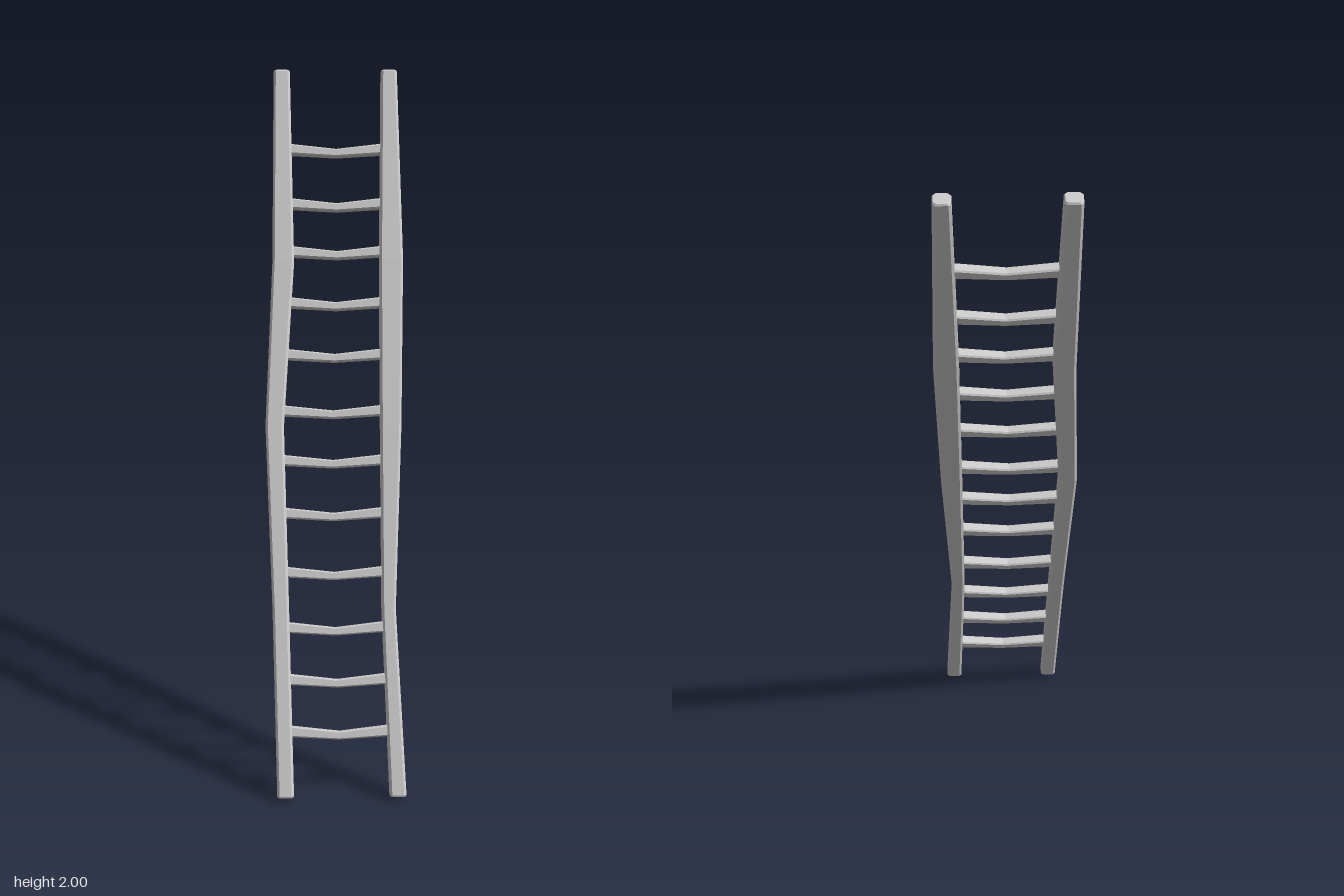
import * as THREE from 'three';

const material = new THREE.MeshStandardMaterial({ color: 0xcccccc, flatShading: true });
const LEAN = 0.391, LENGTH = 2.145;

// Chamfered bar through sections { c: centre, u, v: half sizes along the U and V axes }
function bar(name, sections, U, V, chamfer) {
  const pos = [], idx = [], n = 8;
  for (const { c, u, v } of sections) {
    const a = u - chamfer, b = v - chamfer;
    for (const [p, q] of [[u, -b], [u, b], [a, v], [-a, v], [-u, b], [-u, -b], [-a, -v], [a, -v]]) {
      const w = c.clone().addScaledVector(U, p).addScaledVector(V, q);
      pos.push(w.x, w.y, w.z);
    }
  }
  for (let s = 0; s < sections.length - 1; s++) {
    for (let i = 0; i < n; i++) {
      const a = s * n + i, b = s * n + (i + 1) % n;
      idx.push(a, b, b + n, a, b + n, a + n);
    }
  }
  const last = (sections.length - 1) * n;
  for (let i = 1; i < n - 1; i++) {
    idx.push(0, i + 1, i, last, last + i, last + i + 1);
  }
  const geometry = new THREE.BufferGeometry();
  geometry.setAttribute('position', new THREE.Float32BufferAttribute(pos, 3));
  geometry.setIndex(idx);
  geometry.computeVertexNormals();
  const mesh = new THREE.Mesh(geometry, material);
  mesh.name = name;
  return mesh;
}

// Crooked rails: [fraction of length, inner x, outer x, depth]
const rails = {
  rightRail: [[0, -0.129, -0.177, 0.045], [0.25, -0.14, -0.188, 0.046], [0.5, -0.152, -0.206, 0.05],
    [0.73, -0.119, -0.183, 0.056], [1, -0.128, -0.177, 0.045]],
  leftRail: [[0, 0.146, 0.194, 0.045], [0.25, 0.129, 0.17, 0.043], [0.5, 0.131, 0.193, 0.052],
    [0.73, 0.134, 0.204, 0.06], [1, 0.145, 0.193, 0.045]],
};

// Middle of a rail at fraction t
function railX(rows, t) {
  const i = Math.max(1, rows.findIndex((r) => r[0] >= t));
  const [a, b] = [rows[i - 1], rows[i]];
  return THREE.MathUtils.lerp(a[1] + a[2], b[1] + b[2], (t - a[0]) / (b[0] - a[0])) / 2;
}

export function createModel() {
  const group = new THREE.Group();
  group.name = 'ladder';
  const leaning = new THREE.Group();
  leaning.name = 'leaningFrame';
  leaning.position.y = 1;
  leaning.rotation.x = -LEAN;
  group.add(leaning);

  const X = new THREE.Vector3(1, 0, 0), Y = new THREE.Vector3(0, 1, 0), Z = new THREE.Vector3(0, 0, 1);

  // Rails, with slightly bevelled ends
  for (const [name, rows] of Object.entries(rails)) {
    const sections = rows.map(([t, inner, outer, depth]) => ({
      c: new THREE.Vector3((inner + outer) / 2, (t - 0.5) * LENGTH, 0),
      u: depth / 2,
      v: Math.abs(outer - inner) / 2,
    }));
    const bevel = 0.005;
    for (const [end, dir] of [[sections[0], 1], [sections[sections.length - 1], -1]]) {
      const cap = { c: end.c.clone(), u: end.u - 0.003, v: end.v - 0.003 };
      end.c.y += dir * bevel;
      if (dir > 0) sections.unshift(cap);
      else sections.push(cap);
    }
    leaning.add(bar(name, sections, Z, X, 0.007));
  }

  // Worn rungs that sag and thin towards the middle
  const heights = [0.18, 0.317, 0.455, 0.603, 0.762, 0.905, 1.04, 1.195, 1.338, 1.48, 1.614, 1.767];
  heights.forEach((h, i) => {
    const y = (h - 1) / Math.cos(LEAN), t = y / LENGTH + 0.5;
    const x0 = railX(rails.rightRail, t), x1 = railX(rails.leftRail, t);
    const sections = [0, 0.28, 0.5, 0.72, 1].map((f) => {
      const worn = 1 - Math.abs(2 * f - 1);
      return {
        c: new THREE.Vector3(THREE.MathUtils.lerp(x0, x1, f), y + 0.004 - 0.014 * worn, 0),
        u: 0.016 - 0.004 * worn,
        v: 0.0165 - 0.0015 * worn,
      };
    });
    leaning.add(bar(`rung${i + 1}`, sections, Y, Z, 0.004));
  });
  return group;
}
